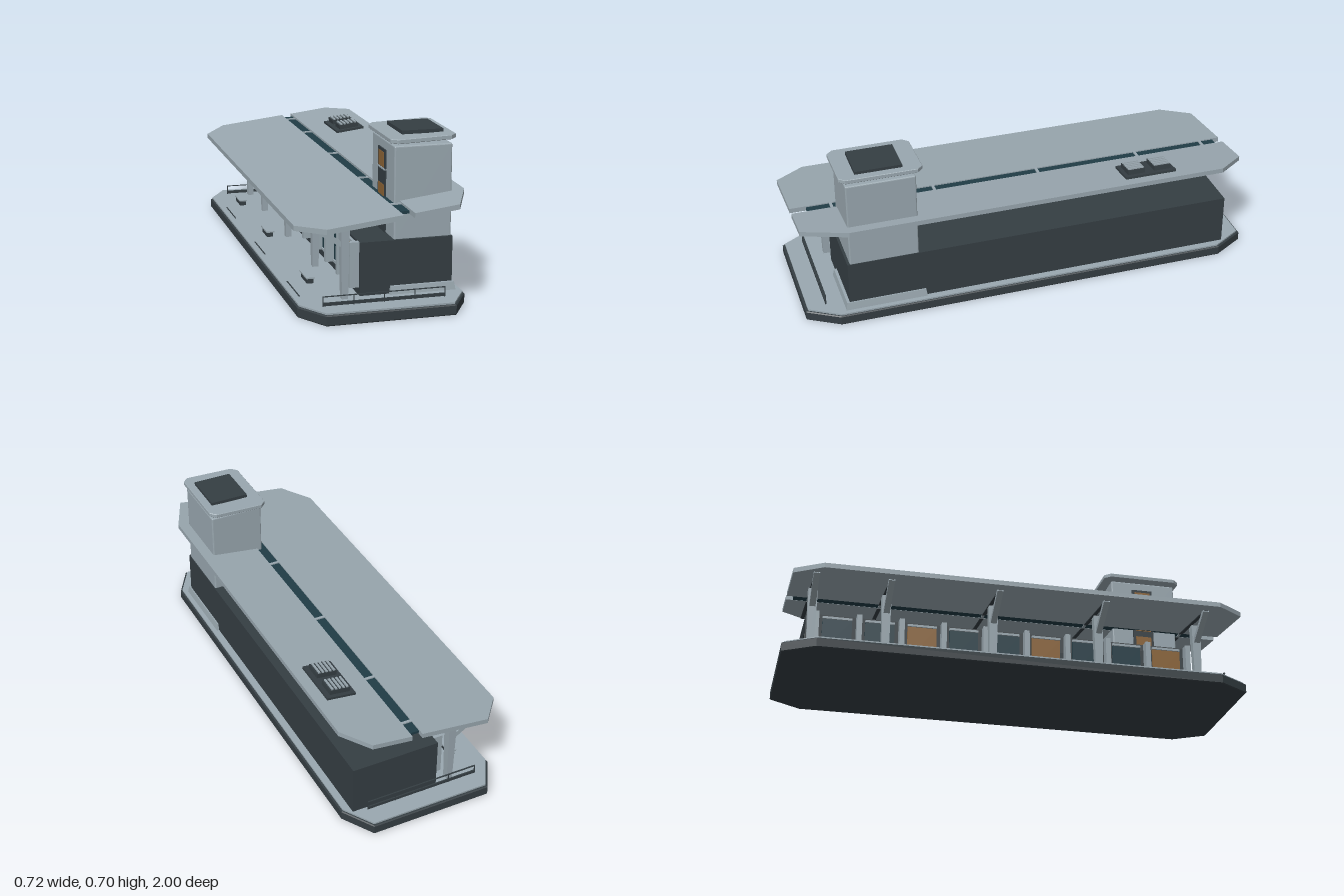
import * as THREE from 'three';
import { RoundedBoxGeometry } from 'three/addons/geometries/RoundedBoxGeometry.js';

const mat = (color) => new THREE.MeshStandardMaterial({ color, flatShading: true });

export function createModel() {
  const model = new THREE.Group();
  const light = mat(0x9aa8b0), dark = mat(0x353e43), glass = mat(0x203c46), amber = mat(0x8c6436);

  const add = (name, geometry, material, parent = model) => {
    const mesh = new THREE.Mesh(geometry, material);
    mesh.name = name;
    parent.add(mesh);
    return mesh;
  };
  // box given by its limits on each axis
  const box = (name, material, x0, x1, y0, y1, z0, z1, parent = model) => {
    const mesh = add(name, new THREE.BoxGeometry(x1 - x0, y1 - y0, z1 - z0), material, parent);
    mesh.position.set((x0 + x1) / 2, (y0 + y1) / 2, (z0 + z1) / 2);
    return mesh;
  };
  // flat slab with an [x, z] outline, optionally sheared so its underside follows yAt(x)
  const slab = (name, material, outline, height, yAt, bevel = 0) => {
    const shape = new THREE.Shape(outline.map(([x, z]) => new THREE.Vector2(x, -z)));
    const g = new THREE.ExtrudeGeometry(shape, {
      depth: height - 2 * bevel, bevelEnabled: bevel > 0, bevelSize: bevel, bevelThickness: bevel,
      bevelOffset: -bevel, bevelSegments: 1,
    });
    g.rotateX(-Math.PI / 2);
    const p = g.attributes.position;
    for (let i = 0; i < p.count; i++) p.setY(i, p.getY(i) + bevel + yAt(p.getX(i)));
    g.computeVertexNormals();
    return add(name, g, material);
  };
  const octagon = (x, z, cx, cz) => [[-x, -cz], [-cx, -z], [cx, -z], [x, -cz], [x, cz], [cx, z], [-cx, z], [-x, cz]];

  // platform
  slab('platformBase', dark, octagon(0.346, 1, 0.265, 0.865), 0.043, () => 0, 0.004);
  slab('platformDeck', light, octagon(0.339, 0.99, 0.26, 0.86), 0.007, () => 0.043);
  for (const z of [-0.55, 0.06, 0.66]) box('pavingStrip', dark, -0.313, -0.308, 0.05, 0.052, z - 0.1, z + 0.1);

  // main hall
  box('hall', dark, -0.078, 0.308, 0.05, 0.27, -0.893, 0.818);

  // tapered plinth under the tower
  const plinth = new THREE.BoxGeometry(0.276, 0.033, 0.355);
  const pp = plinth.attributes.position;
  for (let i = 0; i < pp.count; i++) {
    if (pp.getY(i) > 0) pp.setXYZ(i, pp.getX(i) * 0.96, pp.getY(i), pp.getZ(i) * 0.97);
  }
  plinth.computeVertexNormals();
  add('towerPlinth', plinth, light).position.set(0.181, 0.0665, 0.658);

  // window bays along the track side
  const bays = 9, zStart = -0.85, pitch = 0.183;
  const facade = new THREE.Group();
  facade.name = 'windowFacade';
  model.add(facade);
  for (let i = 0; i <= bays; i++) {
    const z = zStart + i * pitch;
    box('facadeFin', light, -0.117, -0.078, 0.083, 0.27, z - 0.011, z + 0.011, facade);
    if (i === bays) continue;
    const a = z + 0.028, b = z + pitch - 0.028;
    box('windowPane', i % 3 === 2 ? amber : glass, -0.084, -0.077, 0.1, 0.25, a, b, facade);
    box('windowSill', light, -0.09, -0.077, 0.09, 0.1, a, b, facade);
    box('windowHead', light, -0.09, -0.077, 0.25, 0.26, a, b, facade);
  }

  // two roof wings and the glazed gutter between them
  const leftY = (x) => 0.354 + (x + 0.36) * 0.119;
  const rightY = (x) => 0.406 + (x - 0.088) * 0.126;
  slab('lowRoofWing', light, [[-0.36, -0.85], [-0.26, -0.97], [0.043, -0.97], [0.043, 1], [-0.262, 1], [-0.36, 0.87]], 0.021, leftY);
  slab('highRoofWing', light, [[0.088, -0.97], [0.265, -0.97], [0.356, -0.85], [0.356, 0.81], [0.27, 1], [0.088, 1]], 0.021, rightY);
  box('gutterGlass', glass, 0.043, 0.088, 0.407, 0.418, -0.94, 0.93);

  // columns, struts, roof ribs and gutter brackets
  for (const z of [-0.875, -0.56, -0.095, 0.375, 0.825]) {
    const column = new THREE.CylinderGeometry(0.025, 0.018, 0.3, 4);
    column.rotateY(Math.PI / 4);
    column.scale(1, 1, 1.15);
    add('column', column, light).position.set(-0.145, 0.2, z);
    const strut = box('strut', light, -0.082, 0.082, -0.01, 0.01, -0.013, 0.013);
    strut.position.set(-0.228, 0.318, z);
    strut.rotation.z = -0.57;
    const zs = [[z - 0.008], [z + 0.008]];
    const strip = (x0, x1) => [[x0, zs[0][0]], [x1, zs[0][0]], [x1, zs[1][0]], [x0, zs[1][0]]];
    slab('roofRib', dark, strip(-0.3, 0.043), 0.005, (x) => leftY(x) - 0.004);
    slab('roofRib', dark, strip(0.088, 0.33), 0.005, (x) => rightY(x) - 0.004);
    box('gutterBracket', light, 0.04, 0.09, 0.403, 0.423, z - 0.006, z + 0.006);
  }

  // tower
  const tower = new THREE.Group();
  tower.name = 'tower';
  model.add(tower);
  add('towerBody', new RoundedBoxGeometry(0.24, 0.383, 0.298, 2, 0.006), light, tower).position.set(0.185, 0.4565, 0.658);
  box('towerWindowFrame', dark, 0.059, 0.07, 0.27, 0.61, 0.605, 0.7, tower);
  for (const y of [0.345, 0.435, 0.568]) box('towerPane', amber, 0.057, 0.068, y - 0.032, y + 0.03, 0.617, 0.688, tower);
  box('towerTransom', light, 0.055, 0.068, 0.527, 0.533, 0.605, 0.7, tower);

  // tower cap, slightly tilted, with its dark top panel
  const cap = new THREE.Group();
  cap.name = 'towerCap';
  cap.position.set(0.183, 0.674, 0.655);
  cap.rotation.z = 0.035;
  tower.add(cap);
  const r = 0.025, w = 0.135, d = 0.176;
  const capSlab = slab('capSlab', light, octagon(w, d, w - r, d - r), 0.018, () => -0.009, 0.002);
  cap.add(capSlab);
  box('capPanel', dark, 0.11, 0.282, 0.684, 0.699, 0.56, 0.76, tower);

  // roof vents on a tilted pad
  const vents = new THREE.Group();
  vents.name = 'roofVents';
  vents.position.set(0.24, rightY(0.24) + 0.021, -0.535);
  vents.rotation.z = Math.atan(0.126);
  model.add(vents);
  box('ventPad', dark, -0.065, 0.065, -0.002, 0.01, -0.116, 0.116, vents);
  for (const z of [-0.06, 0.06]) {
    box('ventUnit', dark, -0.045, 0.045, 0.01, 0.03, z - 0.038, z + 0.038, vents);
    for (let i = 0; i < 5; i++) {
      const x = -0.034 + i * 0.017;
      box('ventSlat', light, x - 0.004, x + 0.004, 0.03, 0.036, z - 0.036, z + 0.036, vents);
    }
  }

  // end railings
  for (const z of [-0.908, 0.91]) {
    box('railBoard', dark, -0.255, 0.248, 0.053, 0.066, z - 0.003, z + 0.003);
    box('handrail', dark, -0.255, 0.248, 0.089, 0.092, z - 0.003, z + 0.003);
    for (let i = 0; i < 5; i++) {
      const x = -0.2535 + i * 0.125;
      box('railPost', dark, x - 0.0015, x + 0.0015, 0.05, 0.091, z - 0.002, z + 0.002);
    }
  }

  // platform benches
  for (const z of [-0.72, -0.15, 0.56]) {
    box('benchSeat', light, -0.244, -0.208, 0.071, 0.077, z - 0.055, z + 0.055);
    box('benchBase', dark, -0.24, -0.212, 0.05, 0.071, z - 0.048, z + 0.048);
  }

  return model;
}
